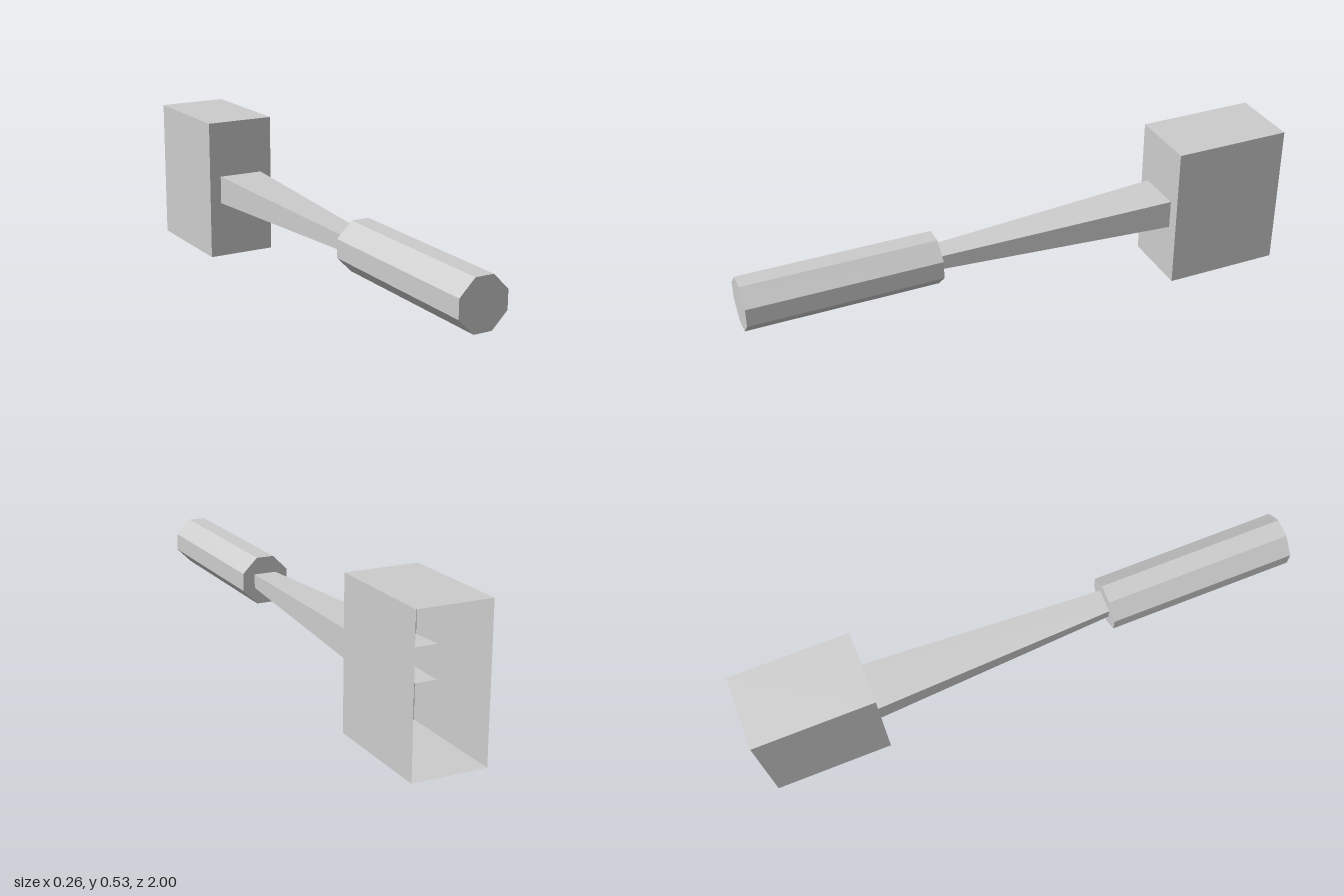
import * as THREE from 'three';

const CENTRE_Y = 0.2655;

// Outline, counter-clockwise seen from the front
const rect = (w, h) => [[-w, -h], [w, -h], [w, h], [-w, h]];
const octagon = (r, s) => [[-s, -r], [s, -r], [r, -s], [r, s], [s, r], [-s, r], [-r, s], [-r, -s]];

// Flat-faced solid between a back outline and a front outline, with optional end caps
function loft(back, zBack, front, zFront, capBack, capFront) {
  const b = back.map(([x, y]) => [x, y, zBack]);
  const f = front.map(([x, y]) => [x, y, zFront]);
  const pos = [];
  const tri = (...corners) => corners.forEach((c) => pos.push(...c));
  const n = b.length;
  for (let i = 0; i < n; i++) {
    const j = (i + 1) % n;
    tri(b[i], b[j], f[j]);
    tri(b[i], f[j], f[i]);
  }
  for (let i = 1; i < n - 1; i++) {
    if (capFront) tri(f[0], f[i], f[i + 1]);
    if (capBack) tri(b[0], b[i + 1], b[i]);
  }
  const geometry = new THREE.BufferGeometry();
  geometry.setAttribute('position', new THREE.Float32BufferAttribute(pos, 3));
  geometry.computeVertexNormals();
  return geometry;
}

export function createModel() {
  const model = new THREE.Group();
  model.name = 'mallet';
  const grey = new THREE.MeshStandardMaterial({ color: 0xcccccc, flatShading: true, side: THREE.DoubleSide });
  grey.name = 'light grey';

  const add = (name, geometry) => {
    const mesh = new THREE.Mesh(geometry, grey);
    mesh.name = name;
    mesh.position.y = CENTRE_Y;
    model.add(mesh);
  };

  // Hollow head, open at the back
  const headOutline = rect(0.131, CENTRE_Y);
  add('head', loft(headOutline, -1, headOutline, -0.57, false, true));

  // Tapered hollow shaft, running on into the head
  add('shaft', loft(rect(0.0957, 0.0587), -0.76, rect(0.0425, 0.026), 0.313, false, false));

  // Eight-sided grip
  const gripOutline = octagon(0.0885, 0.033);
  add('grip', loft(gripOutline, 0.313, gripOutline, 1, true, true));

  return model;
}
